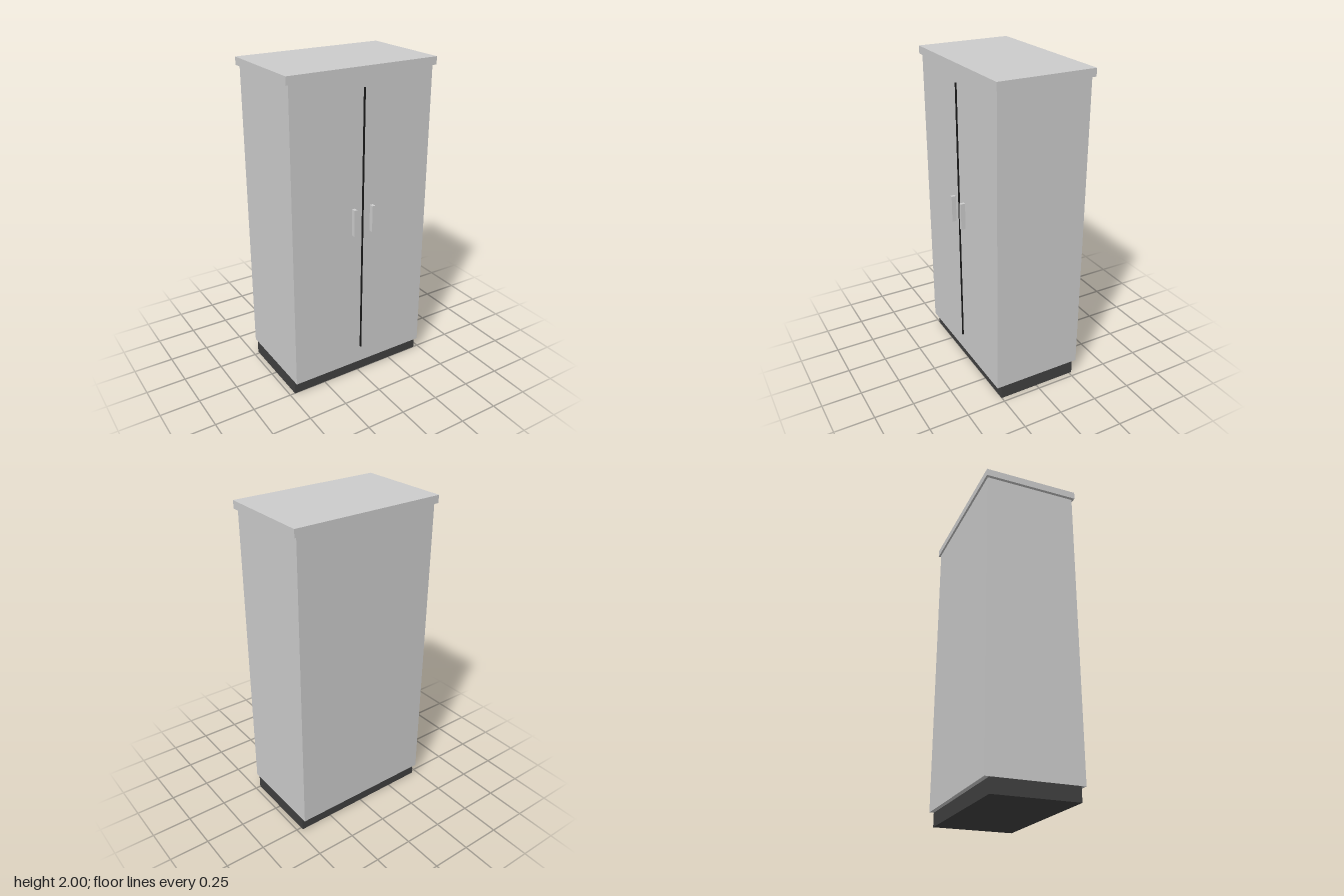
import * as THREE from 'three';

const grey = new THREE.MeshStandardMaterial({ color: 0xcccccc });
const dark = new THREE.MeshStandardMaterial({ color: 0x404040 });
const black = new THREE.MeshStandardMaterial({ color: 0x1a1a1a });

// Box given by its extents along each axis
function box(name, [x0, x1], [y0, y1], [z0, z1], material) {
  const mesh = new THREE.Mesh(new THREE.BoxGeometry(x1 - x0, y1 - y0, z1 - z0), material);
  mesh.position.set((x0 + x1) / 2, (y0 + y1) / 2, (z0 + z1) / 2);
  mesh.name = name;
  return mesh;
}

export function createModel() {
  const cabinet = new THREE.Group();
  cabinet.name = 'cabinet';

  // Recessed plinth, carcass and overhanging top board
  cabinet.add(box('plinth', [-0.467, 0.467], [0, 0.088], [-0.268, 0.252], dark));
  cabinet.add(box('body', [-0.468, 0.468], [0.088, 1.953], [-0.296, 0.281], grey));
  cabinet.add(box('topBoard', [-0.487, 0.487], [1.953, 2], [-0.309, 0.293], grey));

  // Dark strip marking the gap between the two doors
  cabinet.add(box('doorGap', [-0.004, 0.004], [0.2, 1.883], [0.277, 0.289], black));

  // One upright handle on each door
  for (const [name, x] of [['leftHandle', 0.063], ['rightHandle', -0.063]]) {
    cabinet.add(box(name, [x - 0.01, x + 0.01], [1.01, 1.177], [0.277, 0.309], grey));
  }

  return cabinet;
}
